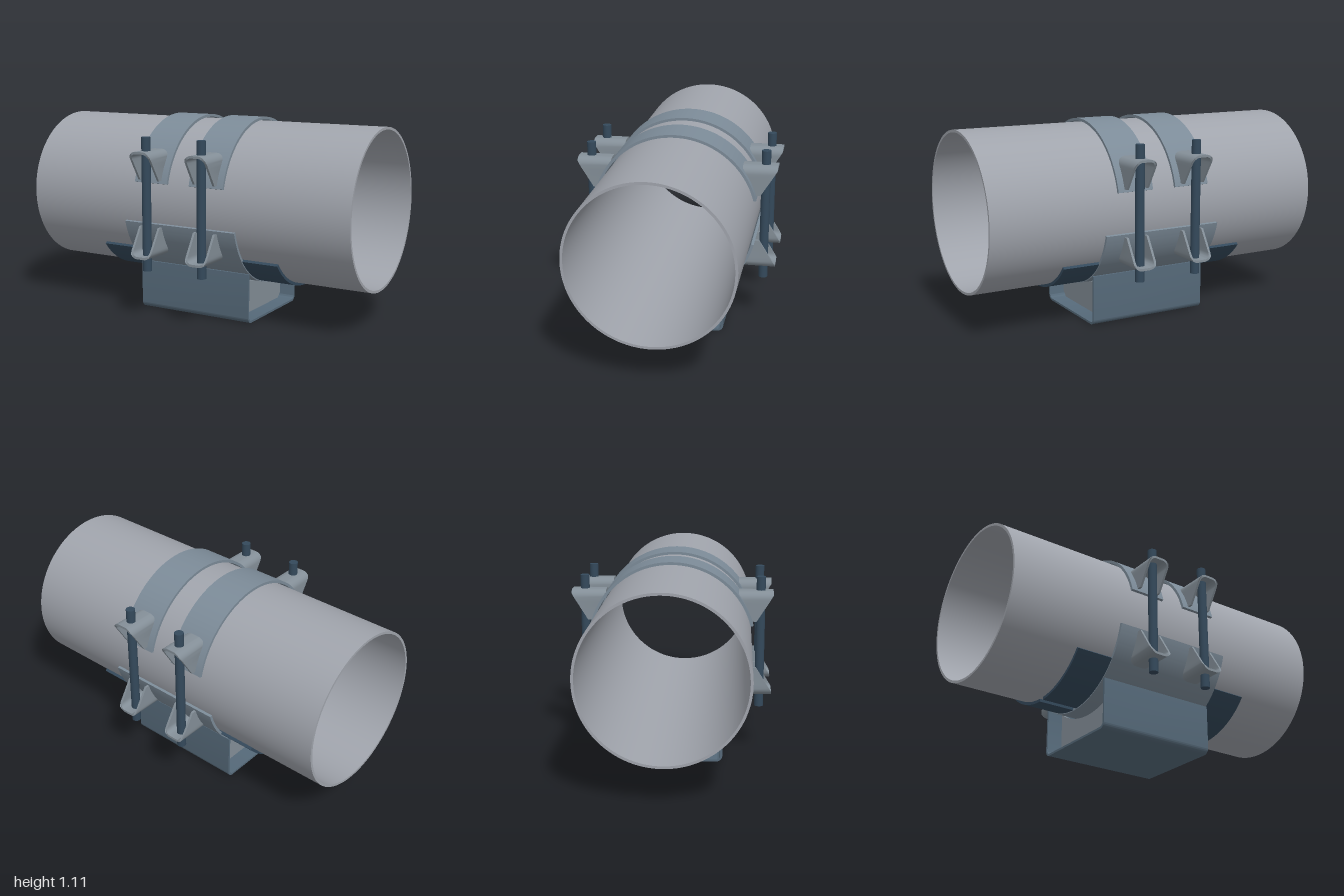
import * as THREE from 'three';
import { toCreasedNormals } from 'three/addons/utils/BufferGeometryUtils.js';

const AXIS_Y = 0.65;
const rad = THREE.MathUtils.degToRad;
const mat = (color) => new THREE.MeshStandardMaterial({ color });
const pipeMat = mat(0xa0a4ac), strapMat = mat(0x7c8b98), lugMat = mat(0x848f98);
const channelMat = mat(0x566a7a), darkMat = mat(0x34495b);

function addMesh(group, name, geometry, material, x = 0, y = 0, z = 0) {
  const mesh = new THREE.Mesh(geometry, material);
  mesh.name = name;
  mesh.position.set(x, y, z);
  group.add(mesh);
  return mesh;
}

// Extrude a side profile (horizontal axis runs along -z) by a length along x
function alongX(shape, length, curveSegments = 64) {
  const g = new THREE.ExtrudeGeometry(shape, { depth: length, bevelEnabled: false, curveSegments });
  g.translate(0, 0, -length / 2);
  g.rotateY(Math.PI / 2);
  return toCreasedNormals(g, 0.6);
}

// Curved band around the pipe axis, angles in degrees
function band(inner, outer, from, to) {
  const s = new THREE.Shape();
  s.absarc(0, 0, outer, rad(from), rad(to), false);
  s.absarc(0, 0, inner, rad(to), rad(from), true);
  s.closePath();
  return s;
}

// Bent sheet lug: an inverted U whose legs taper outside and follow the strap inside
function lugGeometry() {
  const w = 0.0675, t = 0.013, top = 0.945 - AXIS_Y, bottom = 0.78 - AXIS_Y, r = 0.045;
  const steps = 6, pts = [];
  const side = (half, ceiling, radius) => {
    const line = [];
    for (let i = 0; i <= steps; i++) {
      line.push([half, bottom + (ceiling - radius - bottom) * i / steps]);
    }
    for (let i = 1; i <= 8; i++) {
      const a = i / 8 * Math.PI / 2;
      line.push([half - radius + radius * Math.cos(a), ceiling - radius + radius * Math.sin(a)]);
    }
    return line;
  };
  const arch = (half, ceiling, radius) => {
    const right = side(half, ceiling, radius);
    return right.concat(right.map(([x, y]) => [-x, y]).reverse());
  };
  pts.push(...arch(w, top, r), ...arch(w - t, top - t, r - t).reverse());
  const shape = new THREE.Shape(pts.map(([x, y]) => new THREE.Vector2(x, y)));
  const g = new THREE.ExtrudeGeometry(shape, { depth: 1, bevelEnabled: false });
  const p = g.attributes.position;
  for (let i = 0; i < p.count; i++) {
    const y = p.getY(i);
    const zIn = Math.max(0.365, Math.sqrt(0.456 ** 2 - y * y));
    const zOut = Math.min(0.555, 0.465 + 0.09 * (y - bottom) / 0.145);
    p.setZ(i, THREE.MathUtils.lerp(zIn, zOut, p.getZ(i)));
  }
  return toCreasedNormals(g, 0.5);
}

// Folded channel section with rounded lower corners
function channelShape() {
  const w = 0.288, t = 0.012, h = 0.28, r = 0.036;
  const s = new THREE.Shape();
  s.moveTo(-w, h);
  s.lineTo(-w, r);
  s.absarc(-w + r, r, r, Math.PI, 1.5 * Math.PI, false);
  s.absarc(w - r, r, r, 1.5 * Math.PI, 2 * Math.PI, false);
  s.lineTo(w, h);
  s.lineTo(w - t, h);
  s.absarc(w - r, r, r - t, 0, -Math.PI / 2, true);
  s.absarc(-w + r, r, r - t, -Math.PI / 2, -Math.PI, true);
  s.lineTo(-w + t, h);
  s.closePath();
  return s;
}

// Web plate with chamfered feet and a scooped top
function gussetShape() {
  const w = 0.274, b = 0.012, c = 0.03, R = 0.467;
  const a = Math.asin(w / R);
  const s = new THREE.Shape();
  s.moveTo(-w + c, b);
  s.lineTo(w - c, b);
  s.lineTo(w, b + c);
  s.absarc(0, AXIS_Y, R, -Math.PI / 2 + a, -Math.PI / 2 - a, true);
  s.lineTo(-w, b + c);
  s.closePath();
  return s;
}

export function createModel() {
  const model = new THREE.Group();
  model.name = 'clampedPipeSupport';

  // Pipe
  const ring = new THREE.Shape().absarc(0, 0, 0.44, 0, Math.PI * 2, false);
  ring.holes.push(new THREE.Path().absarc(0, 0, 0.426, 0, Math.PI * 2, true));
  addMesh(model, 'pipe', alongX(ring, 2, 96), pipeMat, 0, AXIS_Y);

  // Lower cradle and the two liner pads beneath the pipe
  addMesh(model, 'saddle', alongX(band(0.446, 0.461, 194.3, 345.7), 0.7), strapMat, 0, AXIS_Y);
  addMesh(model, 'linerPad', alongX(band(0.438, 0.456, 218.5, 268), 1.12), darkMat, 0, AXIS_Y);
  addMesh(model, 'linerPad', alongX(band(0.438, 0.456, 272, 321.5), 1.12), darkMat, 0, AXIS_Y);

  // Base channel with web plates
  addMesh(model, 'baseChannel', alongX(channelShape(), 0.7, 10), channelMat);
  const gusset = alongX(gussetShape(), 0.02, 40);
  for (const x of [-0.25, 0.25]) addMesh(model, 'gusset', gusset, lugMat, x);

  // Upper straps, each with four lugs and two bolts
  const strap = alongX(band(0.446, 0.461, 14.3, 165.7), 0.21);
  const lug = lugGeometry();
  const bolt = new THREE.CylinderGeometry(0.025, 0.025, 0.74, 32);
  for (const x of [-0.175, 0.175]) {
    const clamp = new THREE.Group();
    clamp.name = 'clamp';
    clamp.position.set(x, AXIS_Y, 0);
    addMesh(clamp, 'strap', strap, strapMat);
    for (const side of [1, -1]) {
      addMesh(clamp, 'bolt', bolt, darkMat, 0, 0, side * 0.487);
      addMesh(clamp, 'upperLug', lug, lugMat).rotation.y = side > 0 ? 0 : Math.PI;
      // Half turns flip the lug for the lower row
      const lower = addMesh(clamp, 'lowerLug', lug, lugMat);
      if (side > 0) lower.rotation.z = Math.PI;
      else lower.rotation.x = Math.PI;
    }
    model.add(clamp);
  }
  return model;
}
